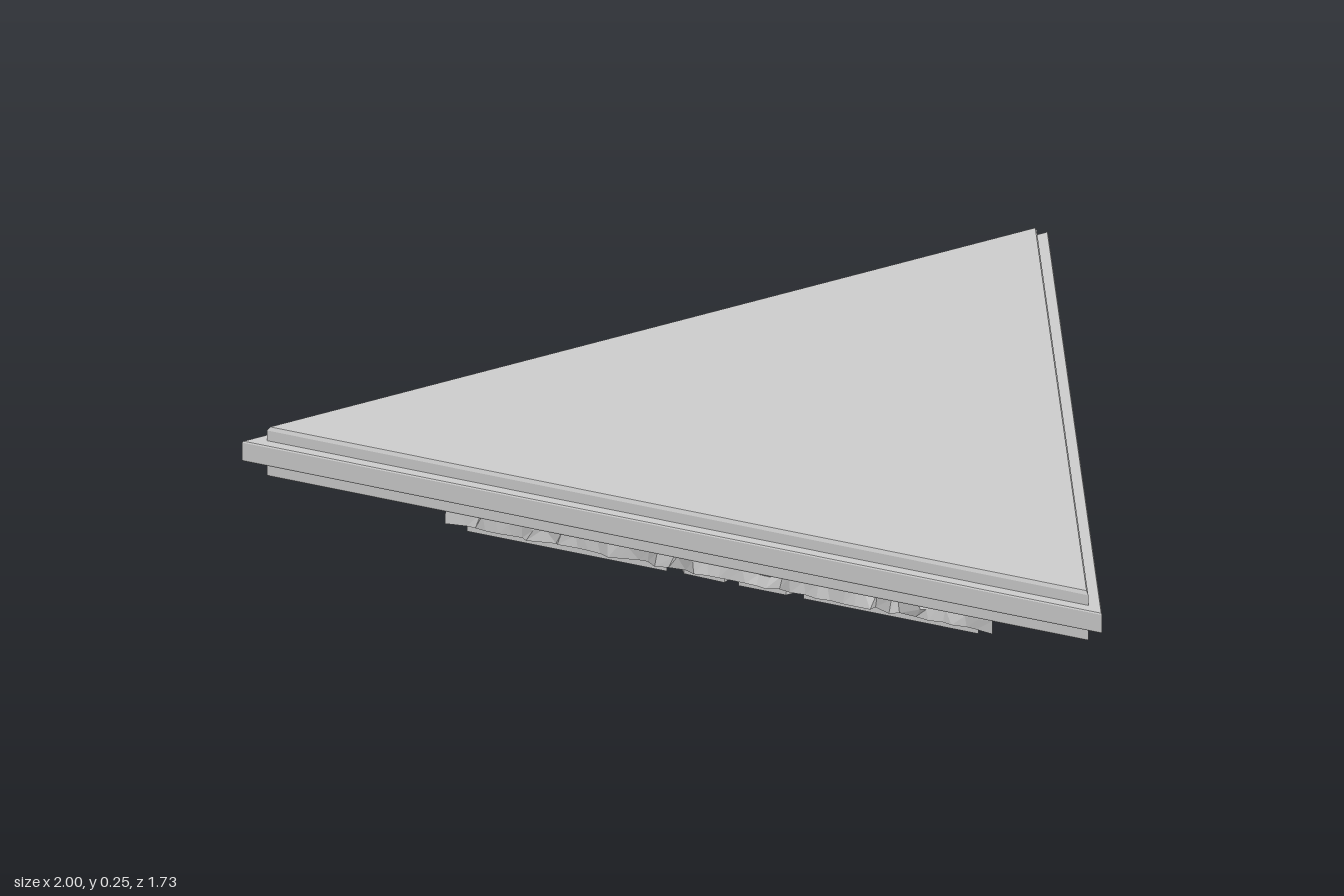
import * as THREE from 'three';

const CENTRE_Z = -0.289; // centroid of the triangle
const RADIUS = 1.155;    // centroid to corner at scale 1

const material = new THREE.MeshStandardMaterial({ color: 0xcccccc, flatShading: true });

function addMesh(group, name, geometry) {
  const mesh = new THREE.Mesh(geometry, material);
  mesh.name = name;
  group.add(mesh);
  return mesh;
}

// Three-sided solid from a profile of [scale, y] pairs, bottom to top
function triangleSolid(profile) {
  const points = profile.map(([s, y]) => new THREE.Vector2(s * RADIUS, y));
  return new THREE.LatheGeometry(points, 3).translate(0, 0, CENTRE_Z);
}

function seededRandom(seed) {
  return () => {
    seed = (seed * 16807) % 2147483647;
    return seed / 2147483647;
  };
}

// Rough-hewn wall: a sheet wrapped round the triangle and chipped inwards
function roughWall(scale, bottom, top) {
  const perSide = 44, rows = 5, columns = perSide * 3;
  const random = seededRandom(77);
  const columnDepth = Array.from({ length: columns }, () => random());
  const corner = (k) => {
    const a = (k % 3) * Math.PI * 2 / 3;
    return new THREE.Vector2(Math.sin(a), Math.cos(a)).multiplyScalar(RADIUS);
  };
  const geometry = new THREE.PlaneGeometry(1, 1, columns, rows);
  const position = geometry.attributes.position;
  for (let row = 0; row <= rows; row++) {
    const rowStart = [];
    for (let i = 0; i <= columns; i++) {
      const c = i % columns;
      const side = Math.floor(c / perSide);
      const atCorner = c % perSide === 0;
      // Keep the first column of each row so that the seam closes
      let chip = 0.022 * columnDepth[c] + 0.018 * random();
      let wobble = atCorner ? 0 : (random() - 0.5) * 0.7;
      if (atCorner) chip *= 0.3;
      if (i === 0) rowStart.push(chip);
      if (i === columns) chip = rowStart[0];
      // The last row folds under the block
      const s = row === rows ? scale - 0.06 : scale - chip;
      const p = corner(side).lerp(corner(side + 1), (c % perSide + wobble) / perSide);
      const t = Math.min(row / (rows - 1), 1);
      const shift = row > 0 && row < rows - 1 && !atCorner ? (random() - 0.5) * 0.015 : 0;
      position.setXYZ(row * (columns + 1) + i, p.x * s, top + (bottom - top) * t + shift, p.y * s + CENTRE_Z);
    }
  }
  return geometry;
}

// Flat paving slab on the underside, from [x, z] corners
function slab(corners, bottom, height) {
  const shape = new THREE.Shape(corners.map(([x, z]) => new THREE.Vector2(x, -z)));
  return new THREE.ExtrudeGeometry(shape, { depth: height, bevelEnabled: false })
    .rotateX(-Math.PI / 2)
    .translate(0, bottom, 0);
}

export function createModel() {
  const model = new THREE.Group();
  model.name = 'triangularPlatform';

  // Stepped plate with a wider middle band
  addMesh(model, 'plate', triangleSolid([
    [0, 0.135], [0.952, 0.135], [0.955, 0.138], [0.955, 0.17], [0.997, 0.17],
    [1, 0.173], [1, 0.212], [0.997, 0.215], [0.955, 0.215],
    [0.955, 0.238], [0.949, 0.246], [0, 0.246],
  ]));

  // Stone block beneath the plate
  addMesh(model, 'stoneWall', roughWall(0.645, 0.018, 0.136));
  addMesh(model, 'stoneBase', triangleSolid([[0, 0.018], [0.59, 0.018], [0.59, 0.136]]));

  // Broken paving slabs separated by narrow gaps
  const slabs = new THREE.Group();
  slabs.name = 'undersideSlabs';
  model.add(slabs);
  [
    [[0.595, -0.632], [0.15, -0.632], [0.21, -0.456], [0.397, -0.29]],
    [[0.11, -0.632], [0.17, -0.43], [0.03, -0.41], [-0.01, -0.632]],
    [[0.375, -0.25], [0.28, -0.085], [0.08, -0.26], [0.03, -0.375], [0.18, -0.395]],
    [[-0.04, -0.632], [-0.16, -0.632], [-0.34, -0.2], [-0.295, -0.115], [0.04, -0.28], [0, -0.4]],
    [[-0.595, -0.632], [-0.195, -0.632], [-0.362, -0.23]],
    [[0.06, -0.24], [0.262, -0.055], [0.224, 0.01], [-0.224, 0.01], [-0.279, -0.085]],
    [[0.204, 0.045], [0, 0.398], [-0.204, 0.045]],
  ].forEach((corners, i) => addMesh(slabs, `slab${i + 1}`, slab(corners, 0, 0.02)));

  return model;
}
